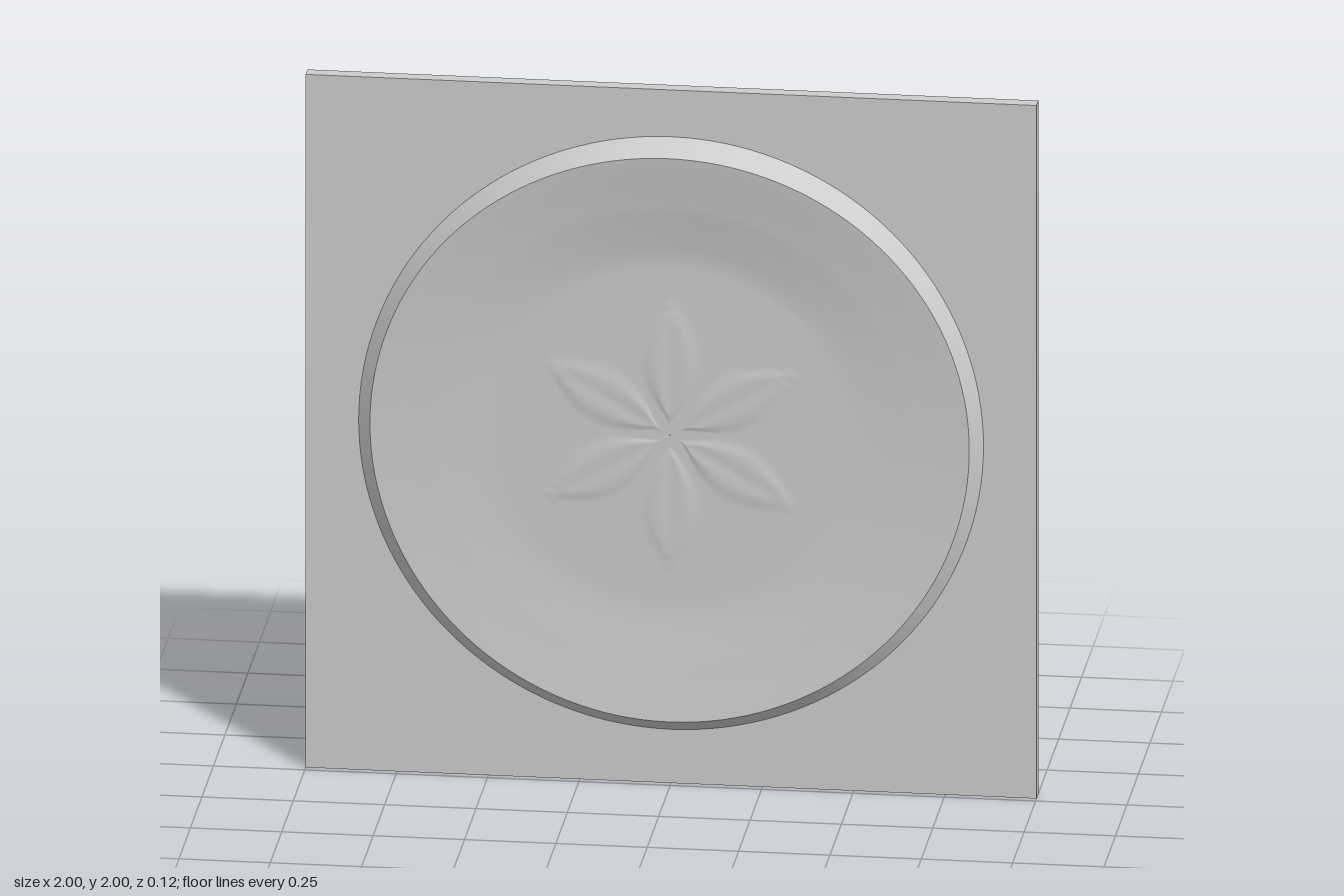
import * as THREE from 'three';
import { mergeVertices } from 'three/addons/utils/BufferGeometryUtils.js';

const CENTER_Y = 1.01, RIM = 0.82, FOOT = 0.855, SLAB_FRONT = -0.02;
const smooth = THREE.MathUtils.smoothstep;

// Height of the rim edge: tallest at the top, lowest at the sides
const rimHeight = (a) => {
  const t = Math.sin(a);
  return 0.012 + 0.02 * t + 0.027 * t * t;
};

// Shallow flower: six raised pointed petals with a vein groove
function flower(r, a) {
  const step = Math.PI / 3;
  const d = (a + 10 * step) % step - step / 2;
  const along = r * Math.cos(d), across = Math.abs(r * Math.sin(d));
  if (along < 0.04 || along > 0.38) return 0;
  const width = 0.085 * Math.sin(Math.PI * (along - 0.04) / 0.34);
  const body = 1 - smooth(across, width * 0.5, width + 0.001);
  return 0.004 * body * (0.6 + 0.4 * smooth(across, 0, 0.03));
}

// Dished face: flat well, curved step, then a sloping border
function dishHeight(r, a) {
  const floor = -0.004 + 0.012 * r * Math.sin(a);
  const rise = 0.45 * smooth(r, 0.48, 0.68) + 0.55 * smooth(r, 0.6, RIM + 0.08) / smooth(RIM, 0.6, RIM + 0.08);
  return floor + (rimHeight(a) - floor) * rise + flower(r, a);
}

// Ring in the xy plane whose z follows a height rule
function reliefRing(inner, outer, sectors, rings, height) {
  let g = new THREE.RingGeometry(inner, outer, sectors, rings);
  g.deleteAttribute('uv');
  g.deleteAttribute('normal');
  const p = g.attributes.position;
  for (let i = 0; i < p.count; i++) {
    const x = p.getX(i), y = p.getY(i);
    p.setZ(i, height(Math.hypot(x, y), Math.atan2(y, x)));
  }
  g = mergeVertices(g, 1e-5);
  g.computeVertexNormals();
  return g;
}

export function createModel() {
  const group = new THREE.Group();
  const stone = new THREE.MeshStandardMaterial({ color: 0xcccccc });
  stone.name = 'light grey';
  const add = (name, geometry, y, z) => {
    const mesh = new THREE.Mesh(geometry, stone);
    mesh.name = name;
    mesh.position.set(0, y, z);
    group.add(mesh);
  };

  // Square backing slab
  add('backingSlab', new THREE.BoxGeometry(2, 2, 0.04), 1, -0.04);

  // Carved dish face
  add('dishFace', reliefRing(0.001, RIM, 144, 80, dishHeight), CENTER_Y, 0);

  // Bevelled outer wall between rim and slab
  add('dishWall', reliefRing(RIM, FOOT, 144, 4, (r, a) =>
    THREE.MathUtils.mapLinear(r, RIM, FOOT, rimHeight(a), SLAB_FRONT)), CENTER_Y, 0);

  return group;
}
